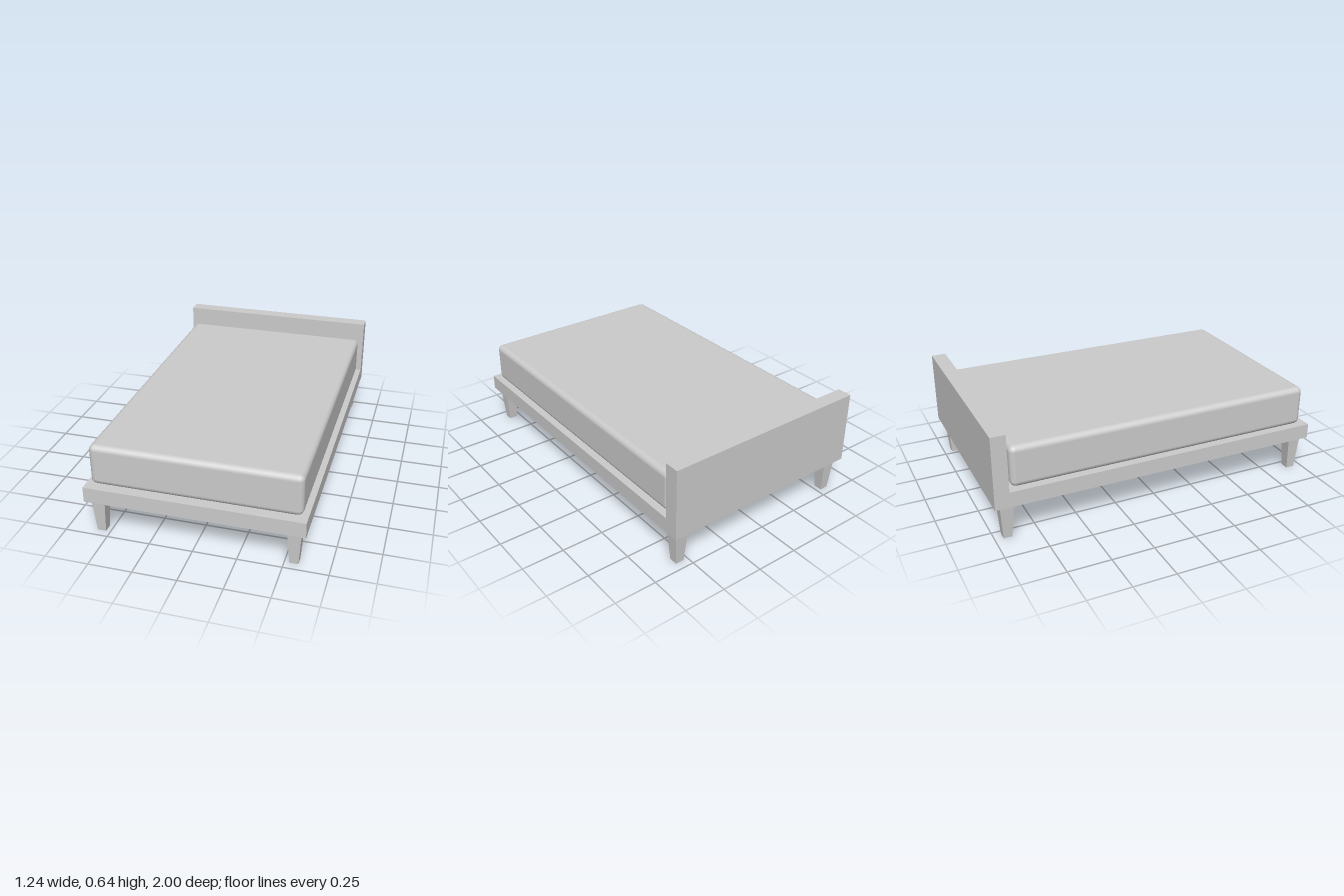
import * as THREE from 'three';
import { RoundedBoxGeometry } from 'three/addons/geometries/RoundedBoxGeometry.js';

const material = new THREE.MeshStandardMaterial({ color: 0xcccccc });

function addPart(parent, name, geometry, x = 0, y = 0, z = 0) {
  const mesh = new THREE.Mesh(geometry, material);
  mesh.name = name;
  mesh.position.set(x, y, z);
  parent.add(mesh);
  return mesh;
}

// Base and headboard share one L-shaped side profile, drawn as (z, y)
function createFrameGeometry(width) {
  const profile = new THREE.Shape([
    [-1, 0.212], [1, 0.212], [1, 0.303], [-0.915, 0.303], [-0.915, 0.643], [-1, 0.643],
  ].map(([z, y]) => new THREE.Vector2(-z, y)));
  const geometry = new THREE.ExtrudeGeometry(profile, { depth: width, bevelEnabled: false });
  geometry.translate(0, 0, -width / 2);
  geometry.rotateY(Math.PI / 2); // profile x becomes -z, depth becomes x
  return geometry;
}

// Square leg tapering towards the floor
function createLegGeometry(top, bottom, height) {
  const geometry = new THREE.CylinderGeometry(
    top * Math.SQRT1_2, bottom * Math.SQRT1_2, height, 4).toNonIndexed();
  geometry.rotateY(Math.PI / 4);
  geometry.computeVertexNormals();
  return geometry;
}

export function createModel() {
  const bed = new THREE.Group();
  bed.name = 'bed';

  addPart(bed, 'frameWithHeadboard', createFrameGeometry(1.24));

  // Mattress with softened edges
  addPart(bed, 'mattress', new RoundedBoxGeometry(1.184, 0.243, 1.85, 3, 0.034), 0, 0.4245, 0.032);

  // Four legs
  const legHeight = 0.212;
  const legGeometry = createLegGeometry(0.08, 0.05, legHeight);
  for (const [side, x] of [['Left', 0.552], ['Right', -0.552]]) {
    for (const [end, z] of [['front', 0.927], ['back', -0.927]]) {
      addPart(bed, `${end}${side}Leg`, legGeometry, x, legHeight / 2, z);
    }
  }
  return bed;
}
